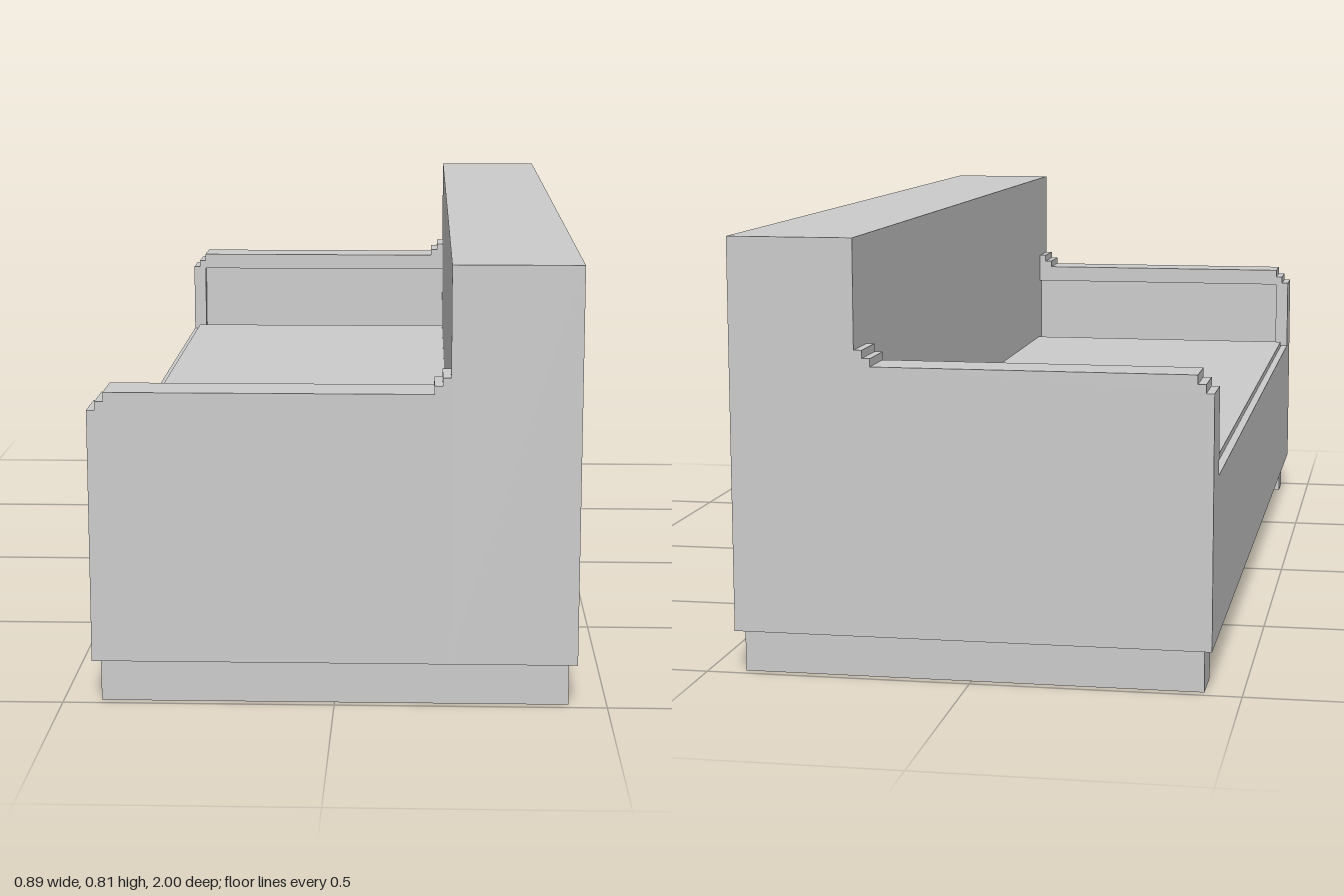
import * as THREE from 'three';

const material = new THREE.MeshStandardMaterial({ color: 0xcccccc, flatShading: true });

// Box given by its limits on each axis
function block(name, [x0, x1], [y0, y1], [z0, z1]) {
  const mesh = new THREE.Mesh(new THREE.BoxGeometry(x1 - x0, y1 - y0, z1 - z0), material);
  mesh.position.set((x0 + x1) / 2, (y0 + y1) / 2, (z0 + z1) / 2);
  mesh.name = name;
  return mesh;
}

// Side profile (x, y) extruded between two z limits
function slab(name, points, z0, z1) {
  const shape = new THREE.Shape(points.map(([x, y]) => new THREE.Vector2(x, y)));
  const mesh = new THREE.Mesh(
    new THREE.ExtrudeGeometry(shape, { depth: z1 - z0, bevelEnabled: false }), material);
  mesh.position.z = z0;
  mesh.name = name;
  return mesh;
}

export function createModel() {
  const sofa = new THREE.Group();
  sofa.name = 'sofa';
  const front = -0.445, rear = 0.445, backFace = 0.21;
  const bottom = 0.08, baseTop = 0.385, inner = 0.905, recess = 0.925;

  // Backrest, seat base and slightly raised seat panel
  sofa.add(block('backrest', [backFace, rear], [bottom, 0.815], [-1, 1]));
  sofa.add(block('seatBase', [front, backFace], [bottom, baseTop], [-inner, inner]));
  sofa.add(block('seatPanel', [-0.43, backFace], [baseTop, 0.397], [-0.887, 0.887]));

  // Arm top with stepped ends, from backrest to front
  const armTop = [
    [backFace, 0.612], [0.195, 0.612], [0.195, 0.597], [0.18, 0.597], [0.18, 0.582],
    [-0.415, 0.582], [-0.415, 0.565], [-0.43, 0.565], [-0.43, 0.549], [front, 0.549],
  ];
  const outline = [[front, bottom], [backFace, bottom], ...armTop];
  // Inner layer leaves a shallow recess above the seat
  const frame = [
    [front, bottom], [backFace, bottom], [backFace, baseTop], [-0.415, baseTop],
    [-0.415, 0.545], [backFace, 0.545], ...armTop,
  ];
  for (const [side, s] of [['left', 1], ['right', -1]]) {
    const span = (a, b) => (s > 0 ? [a, b] : [-b, -a]);
    const arm = new THREE.Group();
    arm.name = side + 'Arm';
    arm.add(slab('armPanel', outline, ...span(recess, 1)));
    arm.add(slab('armInnerFrame', frame, ...span(inner, recess)));
    sofa.add(arm);
  }

  // Runner feet under each end
  sofa.add(block('frontFoot', [-0.43, 0.43], [0, bottom], [0.905, 0.984]));
  sofa.add(block('rearFoot', [-0.43, 0.43], [0, bottom], [-0.982, -0.888]));
  return sofa;
}
